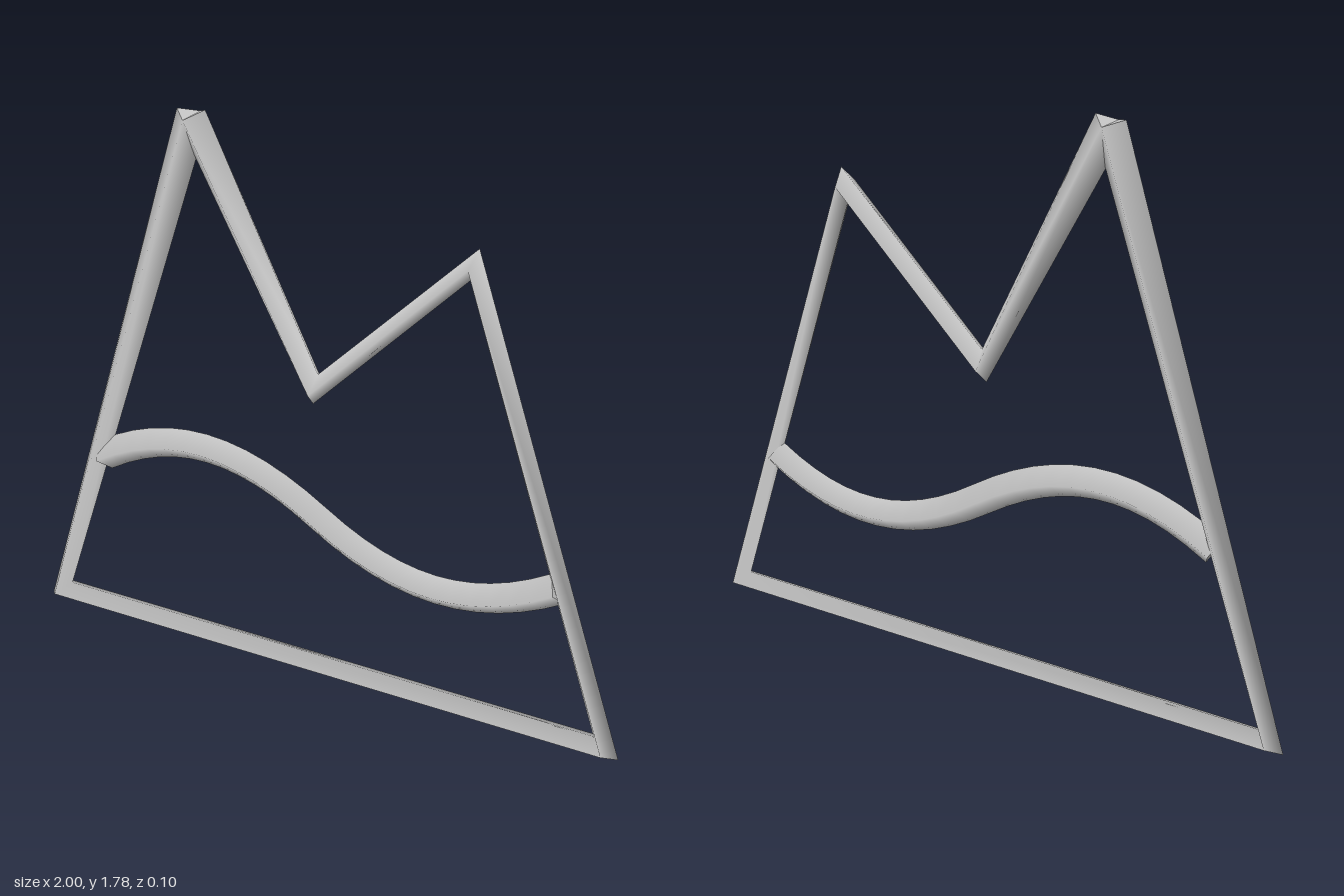
import * as THREE from 'three';

const R = 0.05;

// Diamond-section bar swept along a path in the xy plane; rings sit on the corner bisectors
function sweepDiamond(path) {
  const pos = [], nor = [], idx = [];
  const rings = path.map((p, i) => {
    const t = new THREE.Vector2();
    if (i > 0) t.add(p.clone().sub(path[i - 1]).normalize());
    if (i < path.length - 1) t.add(path[i + 1].clone().sub(p).normalize());
    t.normalize();
    const dirs = [[-t.y, t.x, 0], [0, 0, 1], [t.y, -t.x, 0], [0, 0, -1]];
    return { t, dirs, pts: dirs.map(d => [p.x + d[0] * R, p.y + d[1] * R, d[2] * R]) };
  });
  rings.forEach((ring, i) => {
    ring.pts.forEach((p, j) => { pos.push(...p); nor.push(...ring.dirs[j]); });
    if (i === rings.length - 1) return;
    for (let j = 0; j < 4; j++) {
      const a = i * 4 + j, b = i * 4 + (j + 1) % 4;
      idx.push(a, b, a + 4, b, b + 4, a + 4);
    }
  });
  // Flat caps at both ends
  for (const [ring, s] of [[rings[0], -1], [rings[rings.length - 1], 1]]) {
    const o = pos.length / 3;
    ring.pts.forEach(p => { pos.push(...p); nor.push(ring.t.x * s, ring.t.y * s, 0); });
    if (s > 0) idx.push(o, o + 1, o + 2, o, o + 2, o + 3);
    else idx.push(o, o + 2, o + 1, o, o + 3, o + 2);
  }
  const g = new THREE.BufferGeometry();
  g.setAttribute('position', new THREE.Float32BufferAttribute(pos, 3));
  g.setAttribute('normal', new THREE.Float32BufferAttribute(nor, 3));
  g.setIndex(idx);
  return g;
}

export function createModel() {
  const group = new THREE.Group();
  group.name = 'mountainOutline';
  const grey = new THREE.MeshStandardMaterial({ color: 0xcccccc });
  grey.name = 'light grey';
  const v = (x, y) => new THREE.Vector2(x, y);
  const add = (name, path) => {
    const mesh = new THREE.Mesh(sweepDiamond(path), grey);
    mesh.name = name;
    group.add(mesh);
  };

  // Twin-peak frame, starting and ending at the tall peak
  add('mountainFrame', [
    v(-0.39, 1.76), v(-0.96, 0.03), v(0.96, 0.03),
    v(0.48, 1.472), v(0, 0.992), v(-0.39, 1.76),
  ]);

  // S-shaped bar across the middle
  const mid = v(0.01, 0.56);
  const wave = new THREE.CurvePath();
  const left = new THREE.CubicBezierCurve(v(-0.755, 0.59), v(-0.49, 0.755), v(-0.26, 0.74), mid);
  const right = new THREE.CubicBezierCurve(mid, v(0.28, 0.38), v(0.52, 0.37), v(0.78, 0.533));
  add('waveBar', [...left.getPoints(12), ...right.getPoints(12).slice(1)]);

  return group;
}
